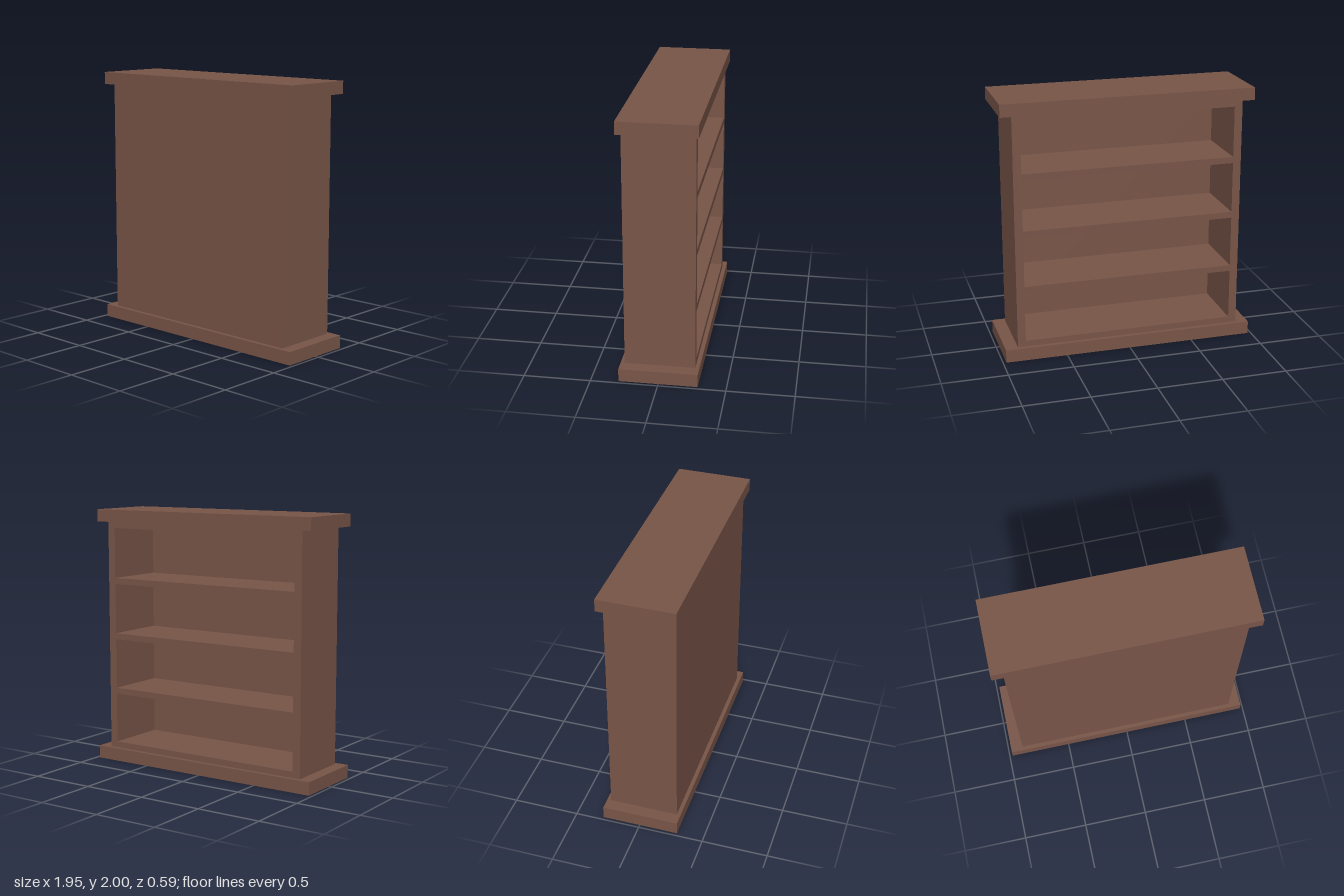
import * as THREE from 'three';

export function createModel() {
  const group = new THREE.Group();
  const wood = new THREE.MeshStandardMaterial({ color: 0x795548, flatShading: true });

  const add = (name, geometry, x, y, z) => {
    const mesh = new THREE.Mesh(geometry, wood);
    mesh.name = name;
    mesh.position.set(x, y, z);
    group.add(mesh);
  };

  const bottom = 0.1, top = 1.905;         // cabinet height range
  const left = -0.88, right = 0.877;       // cabinet width range
  const back = -0.26, front = 0.265;       // cabinet depth range
  const side = 0.062, board = 0.048, panel = 0.033;
  const bays = 4;

  // Plinth and cornice
  add('plinth', new THREE.BoxGeometry(1.95, 0.1, 0.586), 0, 0.05, 0.002);
  add('cornice', new THREE.BoxGeometry(1.93, 0.095, 0.576), 0, 1.9525, 0.002);

  // Closed panel on the front face
  const midX = (left + right) / 2, midY = (bottom + top) / 2;
  add('closingPanel', new THREE.BoxGeometry(right - left, top - bottom, panel),
    midX, midY, front - panel / 2);

  // Sides and shelves: one frame with four open bays facing the rear
  const rect = (Type, x0, y0, x1, y1) => new Type([
    new THREE.Vector2(x0, y0), new THREE.Vector2(x1, y0),
    new THREE.Vector2(x1, y1), new THREE.Vector2(x0, y1),
  ]);
  const frame = rect(THREE.Shape, left, bottom, right, top);
  const pitch = (top - bottom - board) / bays;
  for (let i = 0; i < bays; i++) {
    const y = bottom + board + i * pitch;
    frame.holes.push(rect(THREE.Path, left + side, y, right - side, y + pitch - board));
  }
  add('shelfFrame', new THREE.ExtrudeGeometry(frame, {
    depth: front - panel - back, bevelEnabled: false,
  }), 0, 0, back);

  return group;
}
